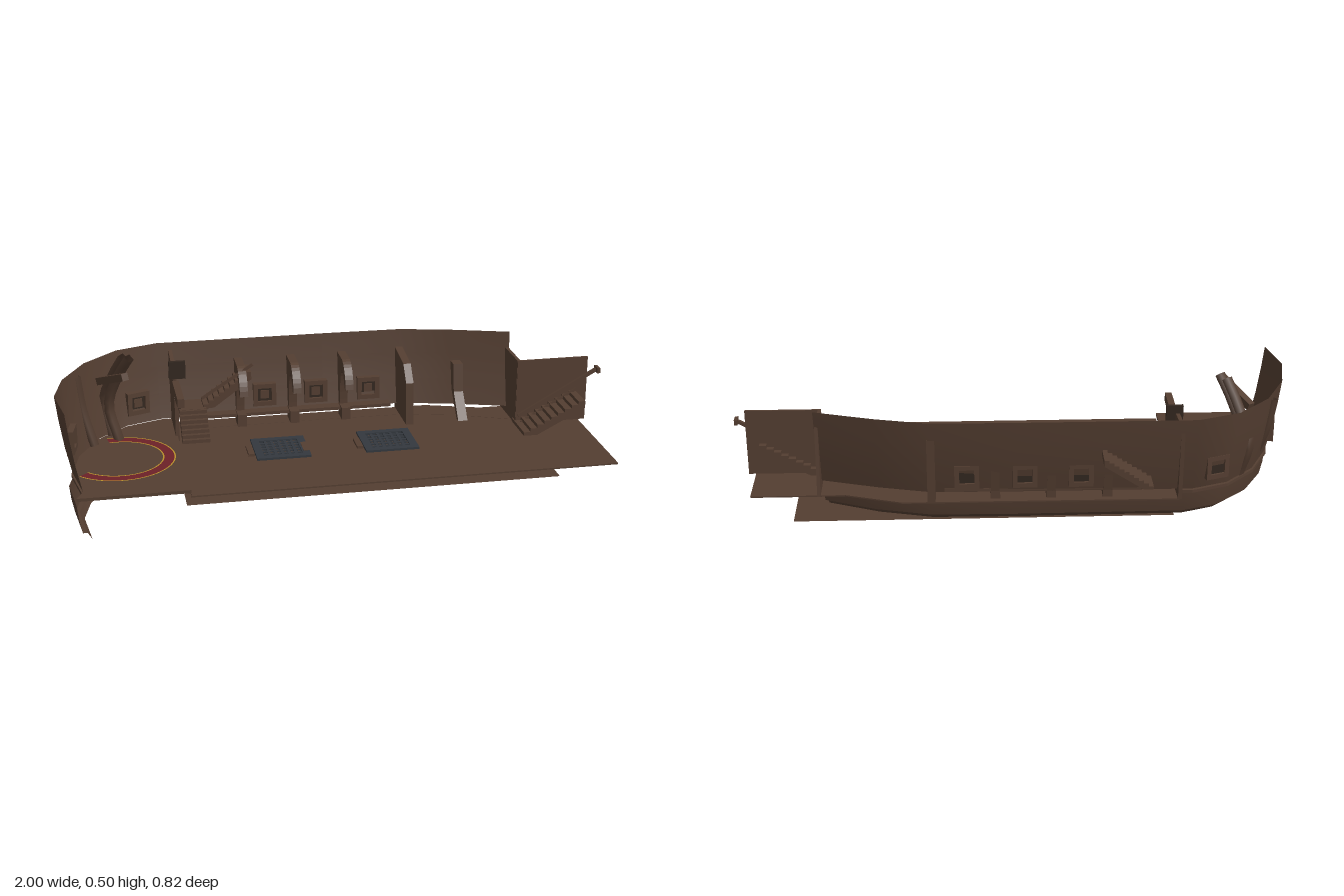
import * as THREE from 'three';

const material = (name, color, side = THREE.FrontSide) => {
  const m = new THREE.MeshStandardMaterial({ color, side });
  m.name = name;
  return m;
};

export function createModel() {
  const model = new THREE.Group();
  const wood = material('brown wood', 0x543e31);
  const planking = material('brown planking', 0x543e31, THREE.DoubleSide);
  const darkWood = material('dark wood', 0x32271f);
  const iron = material('dark iron', 0x33383e);
  const red = material('red carpet', 0x6c2128);
  const gold = material('gold trim', 0xb8902a);

  const add = (name, geo, mat, parent = model) => {
    const m = new THREE.Mesh(geo, mat);
    m.name = name;
    parent.add(m);
    return m;
  };
  const box = (name, mat, x0, x1, y0, y1, z0, z1, parent) => {
    const m = add(name, new THREE.BoxGeometry(x1 - x0, y1 - y0, z1 - z0), mat, parent);
    m.position.set((x0 + x1) / 2, (y0 + y1) / 2, (z0 + z1) / 2);
    return m;
  };
  // Square timber between two points
  const beam = (name, a, b, w) => {
    const p = new THREE.Vector3(...a), q = new THREE.Vector3(...b);
    const m = add(name, new THREE.BoxGeometry(w, w, p.distanceTo(q)), wood);
    m.position.copy(p).lerp(q, 0.5);
    m.lookAt(q);
    return m;
  };
  // Plate across the ship, outline given as (z, y)
  const crossPlate = (name, shape, t, x) => {
    const g = new THREE.ExtrudeGeometry(shape, { depth: t, bevelEnabled: false, curveSegments: 8 });
    g.translate(0, 0, -t / 2).rotateY(Math.PI / 2);
    const m = add(name, g, wood);
    m.position.x = x;
    return m;
  };
  const outline = pts => new THREE.Shape(pts.map(([z, y]) => new THREE.Vector2(-z, y)));

  // Plan path moved towards the inside of the ship
  const inset = (path, d) => path.map(([x, z], i) => {
    const a = path[Math.max(i - 1, 0)], b = path[Math.min(i + 1, path.length - 1)];
    const dx = b[0] - a[0], dz = b[1] - a[1], l = Math.hypot(dx, dz);
    return [x - dz / l * d, z + dx / l * d];
  });
  // Curved hull strip lofted through rows of (height, inset)
  const strip = (name, path, rows) => {
    const pos = [], index = [], n = path.length;
    rows.forEach(([y, d], r) => inset(path, d).forEach(([x, z], i) => {
      pos.push(x, y, z);
      if (r && i) {
        const c = r * n + i, b = c - n;
        index.push(b - 1, b, c - 1, b, c, c - 1);
      }
    }));
    const g = new THREE.BufferGeometry();
    g.setAttribute('position', new THREE.Float32BufferAttribute(pos, 3));
    g.setIndex(index);
    g.computeVertexNormals();
    return add(name, g, planking);
  };

  // Hull
  const upperPath = [[-0.97, 0.365], [-1, 0.19], [-0.97, 0.03], [-0.89, -0.13], [-0.77, -0.25],
    [-0.62, -0.305], [0, -0.305], [0.3, -0.3], [0.49, -0.255], [0.7, -0.19]];
  const lowerPath = [[-0.95, 0.413], [-0.97, 0.24], [-0.94, 0.1], [-0.86, -0.04], [-0.74, -0.15],
    [-0.6, -0.2], [0, -0.205], [0.3, -0.2], [0.5, -0.15], [0.69, -0.07]];
  strip('upperHullWall', upperPath, [[0.447, 0], [0.36, 0.01], [0.26, 0.025], [0.165, 0.045]]);
  strip('lowerHull', lowerPath, [[0.14, 0], [0.09, 0.005], [0.04, 0.015]]);
  strip('lowerHullLedge', lowerPath, [[0.04, 0.015], [0.04, 0.03]]);
  strip('lowerHullFoot', lowerPath, [[0.04, 0.03], [0.015, 0.045]]);

  // Decks
  const deck = (name, pts, y, t) => {
    const s = new THREE.Shape(pts.map(([x, z]) => new THREE.Vector2(x, -z)));
    const g = new THREE.ExtrudeGeometry(s, { depth: t, bevelEnabled: false });
    g.rotateX(-Math.PI / 2);
    add(name, g, wood).position.y = y;
  };
  deck('mainDeck', [[-0.57, 0.4], [0.93, 0.4], [0.93, -0.215], [0.6, -0.215], [0.4, -0.28], [-0.57, -0.285]], 0.134, 0.005);
  deck('bowDeck', [[-0.57, 0.4], [-0.57, -0.265],
    ...inset(upperPath, 0.04).slice(0, 6).reverse(), [-0.95, 0.4]], 0.15, 0.011);
  const floor = add('lowerFloor', new THREE.PlaneGeometry(1.36, 0.37), planking);
  floor.rotation.x = -Math.PI / 2;
  floor.position.set(0.11, 0.014, 0.015);

  // Round carpet edged with gold
  const arc = (name, r0, r1, y, mat) => {
    const g = new THREE.RingGeometry(r0, r1, 48, 1, -2.4, 4.15);
    g.rotateX(-Math.PI / 2);
    add(name, g, mat).position.set(-0.79, y, 0.09);
  };
  arc('carpetRing', 0.155, 0.192, 0.1635, red);
  arc('carpetInnerTrim', 0.151, 0.156, 0.164, gold);
  arc('carpetOuterTrim', 0.191, 0.196, 0.164, gold);

  // Stairs climbing along +x from the given point, then turned
  const stairs = (name, n, run, rise, width, x, y, z, turn = 0) => {
    const s = new THREE.Shape();
    const r = run / n, h = rise / n;
    s.moveTo(0, 0);
    for (let i = 0; i < n; i++) s.lineTo(i * r, (i + 1) * h).lineTo((i + 1) * r, (i + 1) * h);
    s.lineTo(run, rise - 2 * h).lineTo(2 * r, 0);
    const g = new THREE.ExtrudeGeometry(s, { depth: width, bevelEnabled: false });
    g.translate(0, 0, -width / 2);
    const m = add(name, g, wood);
    m.position.set(x, y, z);
    m.rotation.y = turn;
  };
  stairs('hatchStairs', 11, 0.2, 0.137, 0.19, 0.177, 0, 0.147, Math.PI / 2);
  stairs('outerStairs', 10, 0.17, 0.11, 0.085, -0.46, 0.24, -0.367);
  stairs('sternStairs', 9, 0.23, 0.12, 0.15, 0.68, 0.139, 0.02);
  stairs('bowStairs', 7, 0.11, 0.09, 0.1, -0.505, 0.139, -0.06, Math.PI / 2);
  stairs('upperStairs', 9, 0.18, 0.13, 0.085, -0.465, 0.225, -0.225);
  box('stairLanding', wood, -0.555, -0.455, 0.215, 0.23, -0.27, -0.165);
  beam('upperStairRail', [-0.47, 0.265, -0.18], [-0.28, 0.385, -0.18], 0.009);
  beam('upperStairStringer', [-0.47, 0.215, -0.18], [-0.29, 0.34, -0.18], 0.009);

  // Stern screen and handrail
  box('sternScreen', wood, 0.685, 0.955, 0.14, 0.387, -0.035, -0.027);
  beam('sternRail', [0.69, 0.175, -0.015], [0.985, 0.34, -0.015], 0.012);
  beam('sternRailLower', [0.7, 0.15, -0.01], [0.91, 0.27, -0.01], 0.009);
  box('sternRailEnd', wood, 0.983, 0.995, 0.33, 0.35, -0.03, 0.005);

  // Gratings
  for (const [x, z] of [[-0.215, 0.05], [0.178, 0.05]]) {
    const grate = new THREE.Group();
    grate.name = 'grating';
    grate.position.set(x, 0.139, z);
    model.add(grate);
    for (const s of [-1, 1]) {
      box('gratingFrame', iron, s * 0.083 - 0.014, s * 0.083 + 0.014, 0, 0.008, -0.094, 0.094, grate);
      box('gratingFrame', iron, -0.07, 0.07, 0, 0.008, s * 0.081 - 0.013, s * 0.081 + 0.013, grate);
    }
    for (let i = -2; i <= 2; i++) {
      const c = i * 0.024;
      box('gratingBar', iron, c - 0.005, c + 0.005, 0, 0.006, -0.07, 0.07, grate);
      box('gratingBar', iron, -0.07, 0.07, 0, 0.0055, c - 0.005, c + 0.005, grate);
    }
  }

  // Bulkheads
  crossPlate('bowBulkhead', outline([[-0.29, 0.14], [-0.09, 0.14], [-0.09, 0.3], [-0.13, 0.35], [-0.13, 0.4], [-0.3, 0.42]]), 0.014, -0.57);
  crossPlate('midBulkhead', outline([[-0.285, 0.14], [-0.09, 0.14], [-0.1, 0.3], [-0.15, 0.36], [-0.295, 0.38]]), 0.028, 0.295);
  crossPlate('sternBulkhead', outline([[-0.22, 0.135], [-0.03, 0.135], [-0.03, 0.387], [-0.19, 0.387]]), 0.012, 0.69);
  box('bulkheadCap', darkWood, -0.59, -0.53, 0.365, 0.43, -0.145, -0.13);
  crossPlate('bowBracket', outline([[-0.1, 0.33], [0.02, 0.335], [0.105, 0.343], [0.105, 0.375], [-0.1, 0.37]]), 0.024, -0.57);
  const lamp = add('bowLamp', new THREE.CylinderGeometry(0.012, 0.006, 0.014, 8), darkWood);
  lamp.position.set(-0.57, 0.329, 0.05);

  // Arched knees along the side, with feet
  for (const x of [-0.32, -0.122, 0.073]) {
    const s = new THREE.Shape();
    s.moveTo(0.265, 0.17).lineTo(0.295, 0.375).lineTo(0.2, 0.375);
    s.quadraticCurveTo(0.14, 0.36, 0.125, 0.28);
    s.lineTo(0.15, 0.28).quadraticCurveTo(0.17, 0.335, 0.2, 0.335);
    s.quadraticCurveTo(0.24, 0.31, 0.24, 0.17);
    crossPlate('archedKnee', s, 0.03, x);
    box('kneeFoot', wood, x - 0.017, x + 0.017, 0.138, 0.185, -0.26, -0.19);
    box('deckBlock', wood, x - 0.017, x + 0.005, 0.138, 0.148, 0.02, 0.1);
  }
  box('sideShelf', wood, -0.45, 0.25, 0.168, 0.18, -0.262, -0.22);

  // Leaning rib near the stern
  const rib = crossPlate('sternRib', outline([[-0.09, 0.14], [-0.115, 0.14], [-0.2, 0.23], [-0.225, 0.335], [-0.18, 0.335], [-0.165, 0.23]]), 0.036, 0.5);
  rib.position.z = 0.0;

  // Curved ribs at the bow
  const bowRib = (r, ...pts) => {
    const curve = new THREE.CatmullRomCurve3(pts.map(p => new THREE.Vector3(...p)));
    add('bowRib', new THREE.TubeGeometry(curve, 10, r, 4), planking);
  };
  bowRib(0.018, [-0.78, 0.16, -0.09], [-0.81, 0.29, -0.11], [-0.775, 0.41, -0.07], [-0.735, 0.495, -0.015]);
  bowRib(0.018, [-0.8, 0.16, -0.14], [-0.825, 0.29, -0.16], [-0.79, 0.41, -0.1], [-0.755, 0.49, -0.045]);
  bowRib(0.016, [-0.87, 0.17, -0.03], [-0.905, 0.3, -0.06], [-0.92, 0.42, -0.07]);
  beam('bowCrossbeam', [-0.84, 0.395, -0.08], [-0.755, 0.452, 0.055], 0.026);

  // Square windows
  const frameShape = new THREE.Shape([[-1, -1], [1, -1], [1, 1], [-1, 1]].map(([a, b]) => new THREE.Vector2(a * 0.043, b * 0.043)));
  frameShape.holes.push(new THREE.Path([[-1, -1], [-1, 1], [1, 1], [1, -1]].map(([a, b]) => new THREE.Vector2(a * 0.026, b * 0.026))));
  const frameGeo = new THREE.ExtrudeGeometry(frameShape, { depth: 0.025, bevelEnabled: false });
  for (const [x, y, z, turn] of [[-0.225, 0.233, -0.282, 0], [-0.03, 0.233, -0.282, 0], [0.172, 0.233, -0.282, 0],
    [-0.705, 0.242, -0.254, 0.35], [-0.962, 0.245, 0.08, 1.4]]) {
    const w = new THREE.Group();
    w.name = 'window';
    w.position.set(x, y, z);
    w.rotation.y = turn;
    model.add(w);
    add('windowFrame', frameGeo, wood, w);
    box('windowPane', darkWood, -0.026, 0.026, -0.026, 0.026, 0.008, 0.014, w);
    box('windowShutter', wood, -0.016, 0.016, -0.016, 0.016, 0.014, 0.018, w);
  }
  return model;
}
